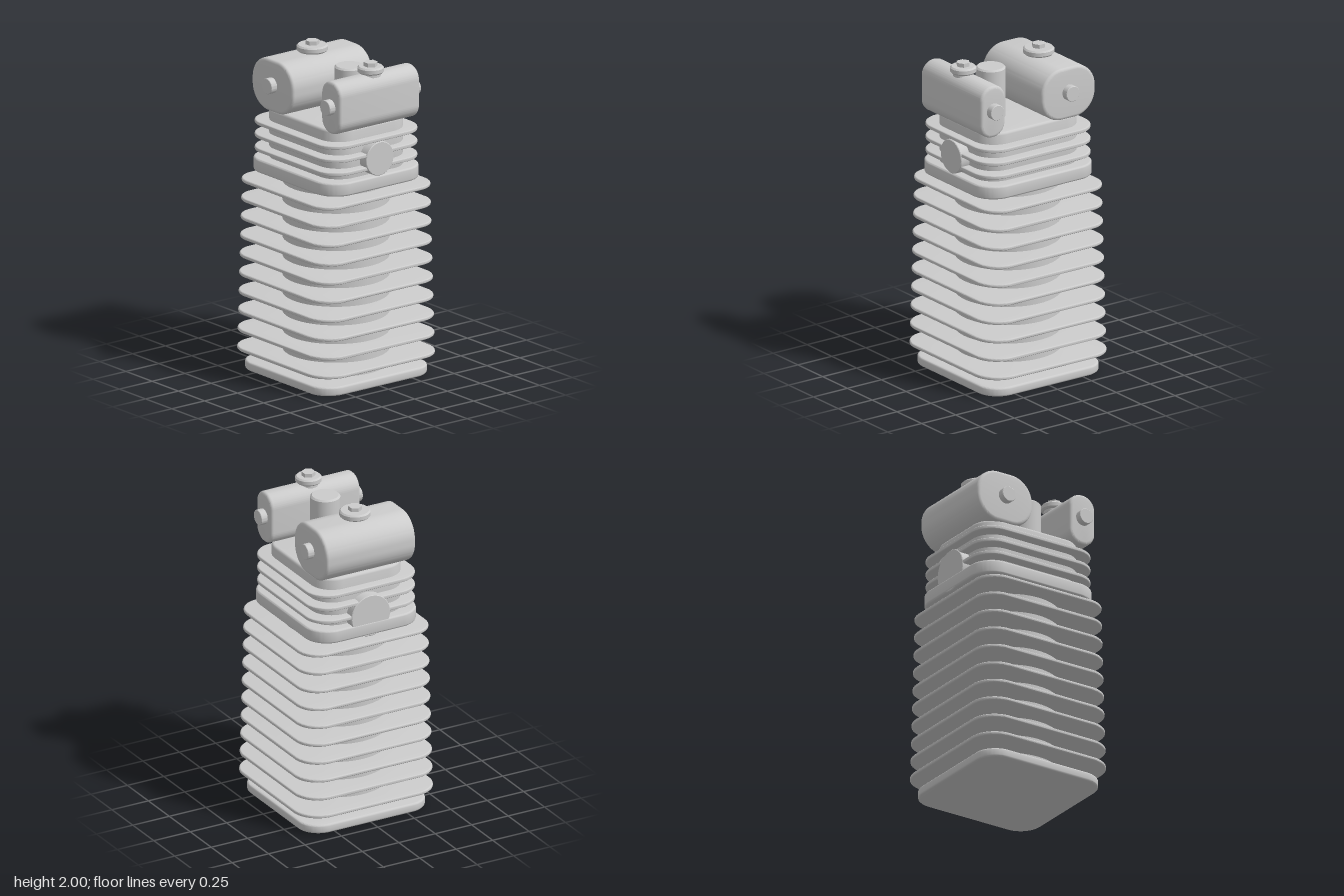
import * as THREE from 'three';
import { toCreasedNormals } from 'three/addons/utils/BufferGeometryUtils.js';

const material = new THREE.MeshStandardMaterial({ color: 0xcccccc });

function add(parent, name, geometry, x = 0, y = 0, z = 0) {
  const mesh = new THREE.Mesh(geometry, material);
  mesh.name = name;
  mesh.position.set(x, y, z);
  parent.add(mesh);
  return mesh;
}

// Rounded rectangle centred on the origin, given by its half sizes
function roundedRect(a, b, r) {
  const s = new THREE.Shape();
  s.absarc(a - r, b - r, r, 0, Math.PI / 2);
  s.absarc(-a + r, b - r, r, Math.PI / 2, Math.PI);
  s.absarc(-a + r, -b + r, r, Math.PI, Math.PI * 1.5);
  s.absarc(a - r, -b + r, r, Math.PI * 1.5, Math.PI * 2);
  s.closePath();
  return s;
}

// Rounded block with softened rims, extruded along z and centred
function block(a, b, r, depth, bevel) {
  const g = new THREE.ExtrudeGeometry(roundedRect(a - bevel, b - bevel, r - bevel), {
    depth: depth - 2 * bevel,
    bevelThickness: bevel,
    bevelSize: bevel,
    bevelSegments: 3,
    curveSegments: 12,
  });
  g.translate(0, 0, bevel - depth / 2);
  return toCreasedNormals(g, 0.6);
}

// Horizontal plate between two heights
function plate(parent, name, halfX, halfZ, r, y0, y1, bevel) {
  const g = block(halfX, halfZ, r, y1 - y0, bevel).rotateX(-Math.PI / 2);
  return add(parent, name, g, 0, (y0 + y1) / 2, 0);
}

// Upright disc or rod with chamfered rims, standing on y = 0
function rod(r, h, chamfer) {
  const g = new THREE.LatheGeometry([
    new THREE.Vector2(0, 0),
    new THREE.Vector2(r - chamfer, 0),
    new THREE.Vector2(r, chamfer),
    new THREE.Vector2(r, h - chamfer),
    new THREE.Vector2(r - chamfer, h),
    new THREE.Vector2(0, h),
  ], 48);
  return toCreasedNormals(g, 0.5);
}

// Rocker box lying along x, with side pins and a screwed cap
function rockerBox(parent, name, z, halfWidth, r, capRadius) {
  const box = new THREE.Group();
  box.name = name;
  box.position.set(0, 1.77, z);
  parent.add(box);
  add(box, 'rockerHousing', block(halfWidth, 0.162, r, 0.612, 0.018).rotateY(Math.PI / 2));
  for (const side of [-1, 1]) {
    const pin = rod(0.048, 0.068, 0.003).rotateZ(-side * Math.PI / 2);
    add(box, side > 0 ? 'leftPin' : 'rightPin', pin, side * 0.28, 0.007, 0);
  }
  add(box, 'capNeck', new THREE.CylinderGeometry(capRadius - 0.017, capRadius - 0.017, 0.03, 48), 0, 0.16, 0);
  add(box, 'cap', rod(capRadius, 0.041, 0.009), 0, 0.164, 0);
  const hex = toCreasedNormals(new THREE.CylinderGeometry(0.042, 0.042, 0.03, 6), 0.5);
  add(box, 'capHexNut', hex, 0, 0.215, 0);
}

export function createModel() {
  const model = new THREE.Group();
  model.name = 'engineCylinder';

  // Barrel: foot, round core and tapering stack of fins
  const barrel = new THREE.Group();
  barrel.name = 'barrel';
  model.add(barrel);
  plate(barrel, 'baseFlange', 0.425, 0.425, 0.14, 0, 0.055, 0.012);
  add(barrel, 'barrelCore', new THREE.CylinderGeometry(0.32, 0.32, 1.195, 64), 0, 0.6175, 0);
  const finCount = 10;
  for (let i = 0; i < finCount; i++) {
    const half = 0.467 - 0.027 * i / (finCount - 1);
    const y = 0.132 + 0.116 * i;
    plate(barrel, 'barrelFin', half, half, half - 0.3, y - 0.011, y + 0.011, 0.009);
  }

  // Head: flange, body and fins
  const head = new THREE.Group();
  head.name = 'cylinderHead';
  model.add(head);
  plate(head, 'headFlange', 0.37, 0.42, 0.15, 1.23, 1.313, 0.012);
  plate(head, 'headBody', 0.295, 0.358, 0.14, 1.29, 1.618, 0.016);
  for (const y of [1.367, 1.45, 1.533]) {
    plate(head, 'headFin', 0.366, 0.415, 0.15, y - 0.012, y + 0.012, 0.009);
  }

  // Ports front and back
  add(head, 'frontPort', rod(0.105, 0.121, 0.004).rotateX(Math.PI / 2), 0, 1.418, 0.3);
  add(head, 'backPort', rod(0.133, 0.118, 0.004).rotateX(-Math.PI / 2), 0, 1.355, -0.3);

  // Upright tube between the rocker boxes
  add(head, 'uprightTube', rod(0.09, 0.33, 0.01), 0, 1.6, 0.128);

  rockerBox(model, 'backRockerBox', -0.226, 0.197, 0.148, 0.094);
  rockerBox(model, 'frontRockerBox', 0.33, 0.09, 0.085, 0.079);

  return model;
}
